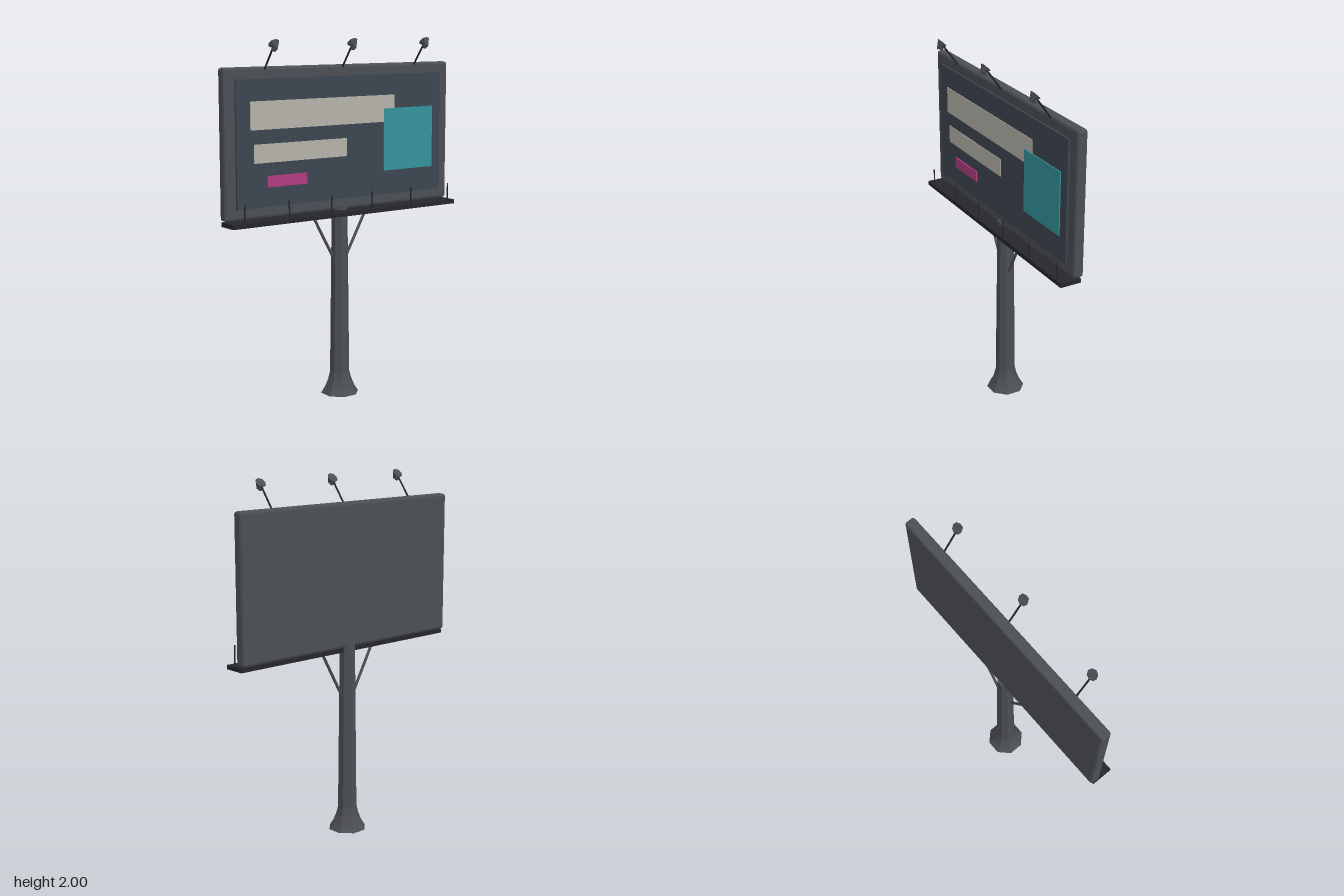
import * as THREE from 'three';
import { RoundedBoxGeometry } from 'three/addons/geometries/RoundedBoxGeometry.js';

const paint = (color) => new THREE.MeshStandardMaterial({ color, flatShading: true });

export function createModel() {
  const model = new THREE.Group();
  const steel = paint(0x4b4e53), dark = paint(0x26272a), face = paint(0x3c4650);
  const cream = paint(0xb5b2aa), teal = paint(0x33929c), pink = paint(0xb03a80);

  const add = (name, geometry, material, x = 0, y = 0, z = 0) => {
    const mesh = new THREE.Mesh(geometry, material);
    mesh.name = name;
    mesh.position.set(x, y, z);
    model.add(mesh);
    return mesh;
  };

  // Box given by its extents on each axis
  const box = (name, material, x0, x1, y0, y1, z0, z1) =>
    add(name, new THREE.BoxGeometry(x1 - x0, y1 - y0, z1 - z0), material,
      (x0 + x1) / 2, (y0 + y1) / 2, (z0 + z1) / 2);

  // Thin round bar between two points
  const bar = (name, material, a, b, radius) => {
    const from = new THREE.Vector3(...a), to = new THREE.Vector3(...b);
    const mesh = add(name, new THREE.CylinderGeometry(radius, radius, from.distanceTo(to), 6), material);
    mesh.position.copy(from).add(to).multiplyScalar(0.5);
    mesh.quaternion.setFromUnitVectors(new THREE.Vector3(0, 1, 0), to.sub(from).normalize());
    return mesh;
  };

  // Octagonal pole on a flared foot
  const poleZ = -0.027, turn = Math.PI / 8;
  const profile = [[0, 0], [0.108, 0], [0.086, 0.035], [0.067, 0.08], [0.055, 0.13], [0, 0.13]]
    .map(([r, y]) => new THREE.Vector2(r, y));
  add('foot', new THREE.LatheGeometry(profile, 8, turn), steel, 0, 0, poleZ);
  const pole = add('pole', new THREE.CylinderGeometry(0.045, 0.056, 0.955, 8), steel, 0, 0.6025, poleZ);
  pole.rotation.y = turn;

  // Diagonal struts
  for (const side of [-1, 1]) {
    bar('strut', steel, [side * 0.04, 0.78, poleZ], [side * 0.195, 1.06, poleZ], 0.008);
  }

  // Board with chamfered frame and raised face
  add('frame', new RoundedBoxGeometry(1.5, 0.795, 0.06, 1, 0.014), steel, 0, 1.4575, -0.027);
  box('displayPanel', face, -0.685, 0.685, 1.12, 1.795, -0.01, 0.014);

  // Plain coloured blocks on the face
  box('upperStrip', cream, -0.6, 0.35, 1.53, 1.68, 0.01, 0.017);
  box('lowerStrip', cream, -0.58, 0.02, 1.355, 1.455, 0.01, 0.017);
  box('squareBlock', teal, 0.275, 0.625, 1.255, 1.605, 0.01, 0.02);
  box('smallBlock', pink, -0.5, -0.25, 1.225, 1.285, 0.01, 0.022);

  // Catwalk with upright posts
  box('catwalk', dark, -0.75, 0.75, 1.032, 1.056, -0.04, 0.08);
  for (let i = 0; i < 6; i++) {
    const x = -0.677 + i * 0.276;
    bar('catwalkPost', dark, [x, 1.045, 0.075], [x, 1.155, 0.075], 0.004);
  }

  // Lamps on slanted arms
  for (const x of [-0.5, 0, 0.5]) {
    bar('lampArm', dark, [x, 1.842, 0.0], [x, 1.968, 0.093], 0.005);
    const shade = add('lampShade', new THREE.ConeGeometry(0.031, 0.05, 8), steel, x, 1.96, 0.108);
    shade.rotation.x = Math.PI * 0.75;
    add('lampBulb', new THREE.SphereGeometry(0.013, 8, 6), steel, x, 1.947, 0.096);
  }

  return model;
}
